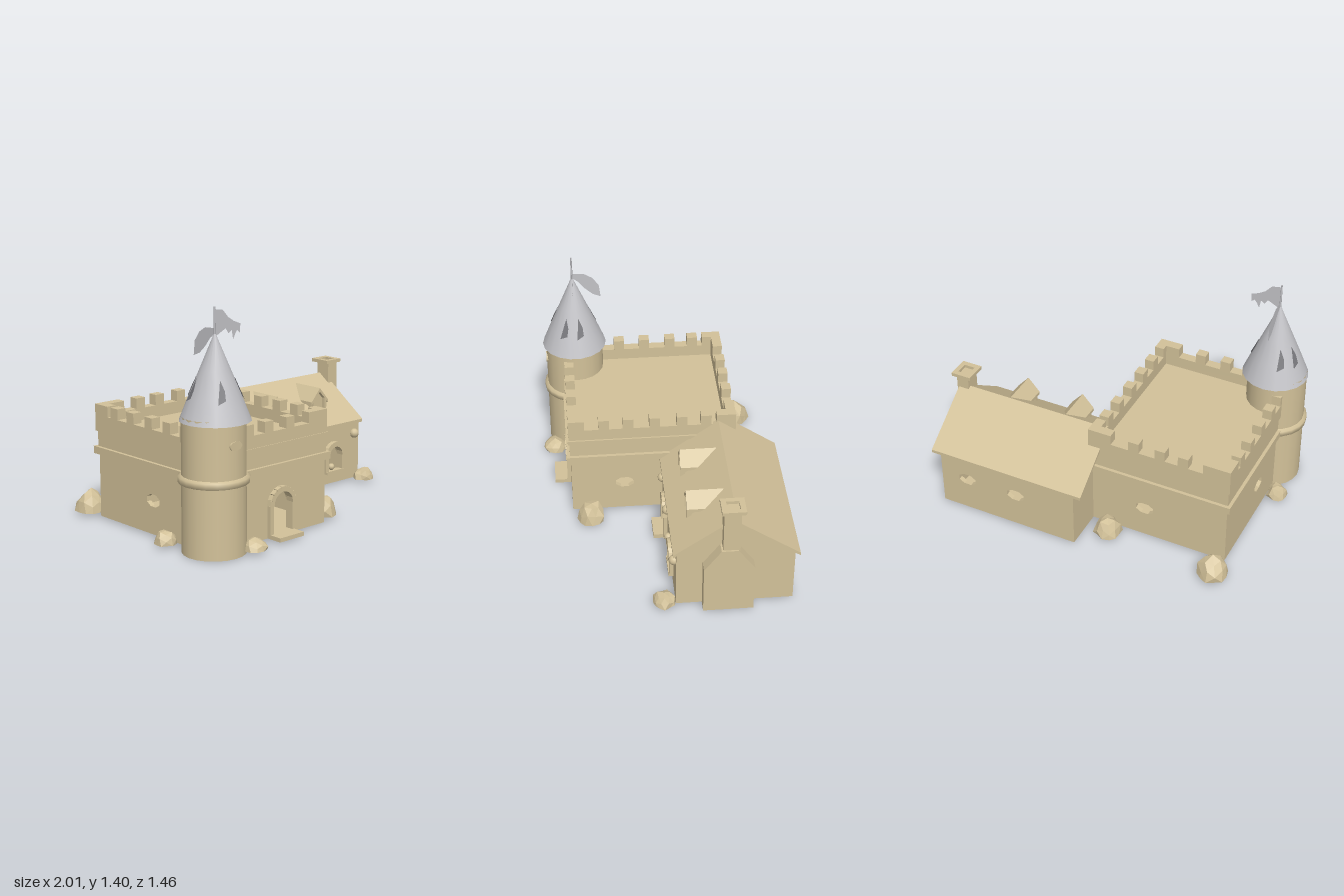
import * as THREE from 'three';

const stone = new THREE.MeshStandardMaterial({ name: 'sandStone', color: 0xd2c199 });
const slate = new THREE.MeshStandardMaterial({ name: 'greySlate', color: 0xc2c2c6, side: THREE.DoubleSide });
const dark = new THREE.MeshStandardMaterial({ name: 'darkGap', color: 0x77777b, side: THREE.DoubleSide });
const V = (x, y) => new THREE.Vector2(x, y);
const T = 0.03; // wall thickness

export function createModel() {
  const root = new THREE.Group();
  root.name = 'castle';

  const add = (name, geo, mat = stone, x = 0, y = 0, z = 0, ry = 0, parent = root) => {
    const m = new THREE.Mesh(geo, mat);
    m.name = name;
    m.position.set(x, y, z);
    m.rotation.y = ry;
    parent.add(m);
    return m;
  };
  // box given by its limits
  const box = (name, x0, x1, y0, y1, z0, z1) =>
    add(name, new THREE.BoxGeometry(x1 - x0, y1 - y0, z1 - z0), stone, (x0 + x1) / 2, (y0 + y1) / 2, (z0 + z1) / 2);
  const extrude = (pts, depth, holes = []) => {
    const s = new THREE.Shape(pts);
    s.holes.push(...holes);
    return new THREE.ExtrudeGeometry(s, { depth, bevelEnabled: false, curveSegments: 8 });
  };

  // openings
  const archHole = (x, y0, hw, spring) => {
    const p = new THREE.Path();
    p.moveTo(x - hw, y0);
    p.lineTo(x + hw, y0);
    p.lineTo(x + hw, spring);
    p.absarc(x, spring, hw, 0, Math.PI, false);
    p.closePath();
    return p;
  };
  const roundHole = (x, y, r = 0.05) =>
    new THREE.Path(Array.from({ length: 8 }, (_, i) =>
      V(x + 1.25 * r * Math.cos((i + 0.5) * Math.PI / 4), y + 0.8 * r * Math.sin((i + 0.5) * Math.PI / 4))));

  // wall whose outer face lies at the given place, turned by ry
  const wall = (name, pts, holes, x, z, ry) => {
    const g = extrude(pts, T, holes);
    g.translate(0, 0, -T);
    return add(name, g, stone, x, 0, z, ry);
  };
  const rect = (hw, y0, y1) => [V(-hw, y0), V(hw, y0), V(hw, y1), V(-hw, y1)];

  // stone surround of an arched opening
  const archFrame = (name, x, y0, hw, spring, z) => {
    const g = new THREE.Group();
    g.name = name;
    g.position.set(x, 0, z);
    const r = hw + 0.014, n = 9;
    for (let i = 0; i < n; i++) {
      const a = (i + 0.5) / n * Math.PI;
      const b = add('archStone', new THREE.BoxGeometry(0.032, 0.033, 0.05), stone, r * Math.cos(a), spring + r * Math.sin(a), 0, 0, g);
      b.rotation.z = a;
    }
    for (const s of [-1, 1])
      add('jamb', new THREE.BoxGeometry(0.028, spring - y0, 0.04), stone, s * r, (spring + y0) / 2, 0, 0, g);
    root.add(g);
  };

  // ---- keep ----
  const kx = -0.435, kz = 0.0475, hx = 0.45, hz = 0.5075;
  wall('keepFrontWall', rect(hx, 0.02, 0.42), [archHole(0.085, 0.04, 0.075, 0.21)], kx, kz + hz, 0);
  wall('keepBackWall', rect(hx, 0.02, 0.42), [roundHole(-0.085, 0.22)], kx, kz - hz, Math.PI);
  wall('keepRightWall', rect(hz, 0.02, 0.42), [roundHole(kz - 0.22, 0.22)], kx + hx, kz, Math.PI / 2);
  wall('keepLeftWall', rect(hz, 0.02, 0.42), [roundHole(0, 0.22)], kx - hx, kz, -Math.PI / 2);
  box('keepFloor', kx - hx, kx + hx, 0.015, 0.03, kz - hz, kz + hz);
  const tier = (name, d, y0, y1) => box(name, kx - hx - d, kx + hx + d, y0, y1, kz - hz - d, kz + hz + d);
  tier('keepLedge', 0.025, 0.41, 0.455);
  tier('keepUpperBand', 0.005, 0.455, 0.555);
  tier('keepDeck', 0.015, 0.55, 0.575);

  // parapet and merlons
  const x0 = kx - hx - 0.015, x1 = kx + hx + 0.005, z0 = kz - hz - 0.015, z1 = kz + hz + 0.01, P = 0.06;
  for (const [a, b] of [[z0, z0 + P], [z1 - P, z1]]) {
    box('parapet', x0, x1, 0.57, 0.65, a, b);
    for (const c of [-0.76, -0.6, -0.45, -0.28]) box('merlon', c - 0.033, c + 0.033, 0.64, 0.715, a, b);
    for (const [c, d] of [[x0, x0 + 0.14], [x1 - 0.15, x1]]) box('cornerMerlon', c, d, 0.64, 0.715, a, b);
  }
  for (const [a, b] of [[x0, x0 + P], [x1 - P, x1]]) {
    box('parapet', a, b, 0.57, 0.65, z0 + P, z1 - P);
    for (const c of [-0.29, -0.14, 0.03, 0.195, 0.345]) box('merlon', a, b, 0.64, 0.715, c - 0.033, c + 0.033);
    for (const [c, d] of [[z0 + P, z0 + 0.12], [z1 - 0.1, z1 - P]]) box('cornerMerlon', a, b, 0.64, 0.715, c, d);
  }
  archFrame('keepDoorFrame', -0.35, 0.03, 0.075, 0.21, 0.56);
  box('keepDoorStep', -0.45, -0.26, 0.015, 0.04, 0.55, 0.66);

  // ---- tower ----
  const tx = -0.803, tz = 0.49;
  add('towerWall', new THREE.CylinderGeometry(0.183, 0.186, 0.79, 20, 1, true), stone, tx, 0.398, tz);
  add('towerRing', new THREE.LatheGeometry([V(0.18, 0.41), V(0.203, 0.415), V(0.205, 0.45), V(0.18, 0.46)], 20), stone, tx, 0, tz);
  const eye = add('towerWindow', new THREE.CylinderGeometry(0.045, 0.045, 0.02, 8), stone, tx, 0.65, tz + 0.178);
  eye.rotation.x = Math.PI / 2;
  eye.scale.z = 0.6;

  // conical roof with slits
  const cx = -0.79, R = y => 0.2 * (1.25 - y) / 0.48 + 0.005;
  add('towerRoof', new THREE.LatheGeometry([V(R(0.77), 0.765), V(R(0.9), 0.9), V(R(1.05), 1.05), V(R(1.25), 1.25)], 18), slate, cx, 0, tz);
  for (const a of [-0.45, 1.15, 1.85, -1.9, -2.6]) {
    const g = new THREE.ShapeGeometry(new THREE.Shape([V(-0.17, 0.88), V(0.12, 0.9), V(0.14, 0.95), V(-0.02, 1.01)]));
    const p = g.attributes.position;
    for (let i = 0; i < p.count; i++) {
      const y = p.getY(i), r = R(y) + 0.004, t = a + p.getX(i);
      p.setXYZ(i, r * Math.sin(t), y, r * Math.cos(t));
    }
    g.computeVertexNormals();
    add('roofSlit', g, dark, cx, 0, tz);
  }
  add('flagPole', new THREE.CylinderGeometry(0.005, 0.007, 0.22, 6), slate, cx, 1.29, tz);
  const flag = (name, pts, ry) => add(name, new THREE.ShapeGeometry(new THREE.Shape(pts.map(q => V(...q)))), slate, cx, 0, tz, ry);
  flag('tornFlag', [[0, 1.385], [0.06, 1.375], [0.1, 1.33], [0.14, 1.305], [0.19, 1.285], [0.185, 1.235], [0.165, 1.25],
    [0.15, 1.23], [0.135, 1.2], [0.125, 1.255], [0.1, 1.24], [0.08, 1.27], [0.04, 1.25], [0, 1.23]], 0);
  flag('lowerFlag', [[0, 1.28], [0.08, 1.275], [0.13, 1.245], [0.17, 1.19], [0.18, 1.105], [0.13, 1.125], [0.08, 1.17], [0.04, 1.22], [0, 1.25]], Math.PI / 2);

  // ---- house ----
  const hcx = 0.46, hcz = -0.37, hw = 0.46, hd = 0.35;
  const gable = [V(-hd, 0.02), V(hd, 0.02), V(hd, 0.4), V(0, 0.645), V(-hd, 0.4)];
  wall('houseFrontWall', rect(hw, 0.02, 0.4),
    [archHole(0.26 - hcx, 0.04, 0.07, 0.2), archHole(0.68 - hcx, 0.1, 0.06, 0.205)], hcx, hcz + hd, 0);
  wall('houseBackWall', rect(hw, 0.02, 0.4), [roundHole(-0.28, 0.24), roundHole(0.06, 0.24)], hcx, hcz - hd, Math.PI);
  wall('houseRightGable', gable, [], hcx + hw, hcz, Math.PI / 2);
  wall('houseLeftGable', gable, [], 0, hcz, -Math.PI / 2);
  box('houseFloor', 0, 0.92, 0.015, 0.03, hcz - hd, hcz + hd);

  // roof slopes, extruded along x
  const slope = (name, pts, xa, xb) => {
    const g = extrude(pts, xb - xa);
    g.rotateY(Math.PI / 2); // profile x becomes -z
    add(name, g, stone, xa);
  };
  slope('roofFront', [V(0, 0.39), V(0.365, 0.65), V(0.365, 0.673), V(0, 0.41)], 0, 0.935);
  slope('roofBack', [V(0.365, 0.65), V(0.74, 0.39), V(0.74, 0.41), V(0.365, 0.673)], -0.06, 0.97);

  // dormers
  for (const x of [0.25, 0.635]) {
    const d = new THREE.Group();
    d.name = 'dormer';
    d.position.x = x;
    root.add(d);
    add('dormerBody', extrude([V(-0.05, 0.46), V(0.05, 0.46), V(0.05, 0.57), V(0, 0.625), V(-0.05, 0.57)], 0.2), stone, 0, 0, -0.325, 0, d);
    add('dormerRoof', extrude([V(-0.075, 0.54), V(0, 0.62), V(0.075, 0.54), V(0.075, 0.56), V(0, 0.645), V(-0.075, 0.56)], 0.225), stone, 0, 0, -0.325, 0, d);
    for (const s of [-1, 1])
      add('dormerPost', new THREE.BoxGeometry(0.016, 0.11, 0.03), stone, s * 0.052, 0.52, -0.115, 0, d);
  }
  archFrame('houseDoorFrame', 0.26, 0.03, 0.07, 0.2, -0.015);
  archFrame('houseWindowFrame', 0.68, 0.1, 0.06, 0.205, -0.015);
  box('windowSill', 0.6, 0.76, 0.085, 0.105, -0.03, 0.01);
  box('houseDoorStep', 0.17, 0.335, 0.015, 0.045, -0.03, 0.065);
  for (const [x, y, r] of [[0.11, 0.32, 0.031], [0.42, 0.32, 0.031], [0.51, 0.18, 0.025], [0.655, 0.13, 0.022], [0.87, 0.32, 0.031]])
    add('wallKnob', new THREE.SphereGeometry(r, 10, 8), stone, x, y, -0.01);

  // chimney: broad base, shoulders, stack and hollow cap
  const base = extrude([V(-0.15, 0.01), V(0.15, 0.01), V(0.15, 0.33), V(0.05, 0.47), V(-0.05, 0.47), V(-0.15, 0.33)], 0.09);
  add('chimneyBase', base, stone, 0.9, 0, -0.325, Math.PI / 2);
  box('chimneyStack', 0.9, 0.98, 0.4, 0.75, -0.385, -0.285);
  const ring = extrude(rect(0.065, -0.07, 0.07), 0.022, [new THREE.Path(rect(0.035, -0.038, 0.038))]);
  ring.rotateX(-Math.PI / 2);
  add('chimneyCap', ring, stone, 0.935, 0.748, -0.34);

  // boulders around the walls: x, z, radius, height
  const rocks = [[-0.86, -0.59, 0.095, 0.15], [-0.14, -0.54, 0.085, 0.13], [0.11, 0.44, 0.085, 0.145],
    [0.905, 0.05, 0.07, 0.09], [-0.64, 0.65, 0.08, 0.085], [-0.95, 0.23, 0.065, 0.1]];
  rocks.forEach(([x, z, r, h], k) => {
    const g = new THREE.IcosahedronGeometry(1, 1);
    const p = g.attributes.position;
    for (let i = 0; i < p.count; i++) {
      const a = p.getX(i), b = p.getY(i), c = p.getZ(i);
      const s = 1 + 0.1 * Math.sin(3 * a + 5 * c + 2 * b + k * 1.7);
      p.setXYZ(i, a * r * s, Math.max(0.02, 0.02 + b * (h - 0.02) * s), c * r * s);
    }
    g.computeVertexNormals();
    add('boulder', g, stone, x, 0, z);
  });

  return root;
}
